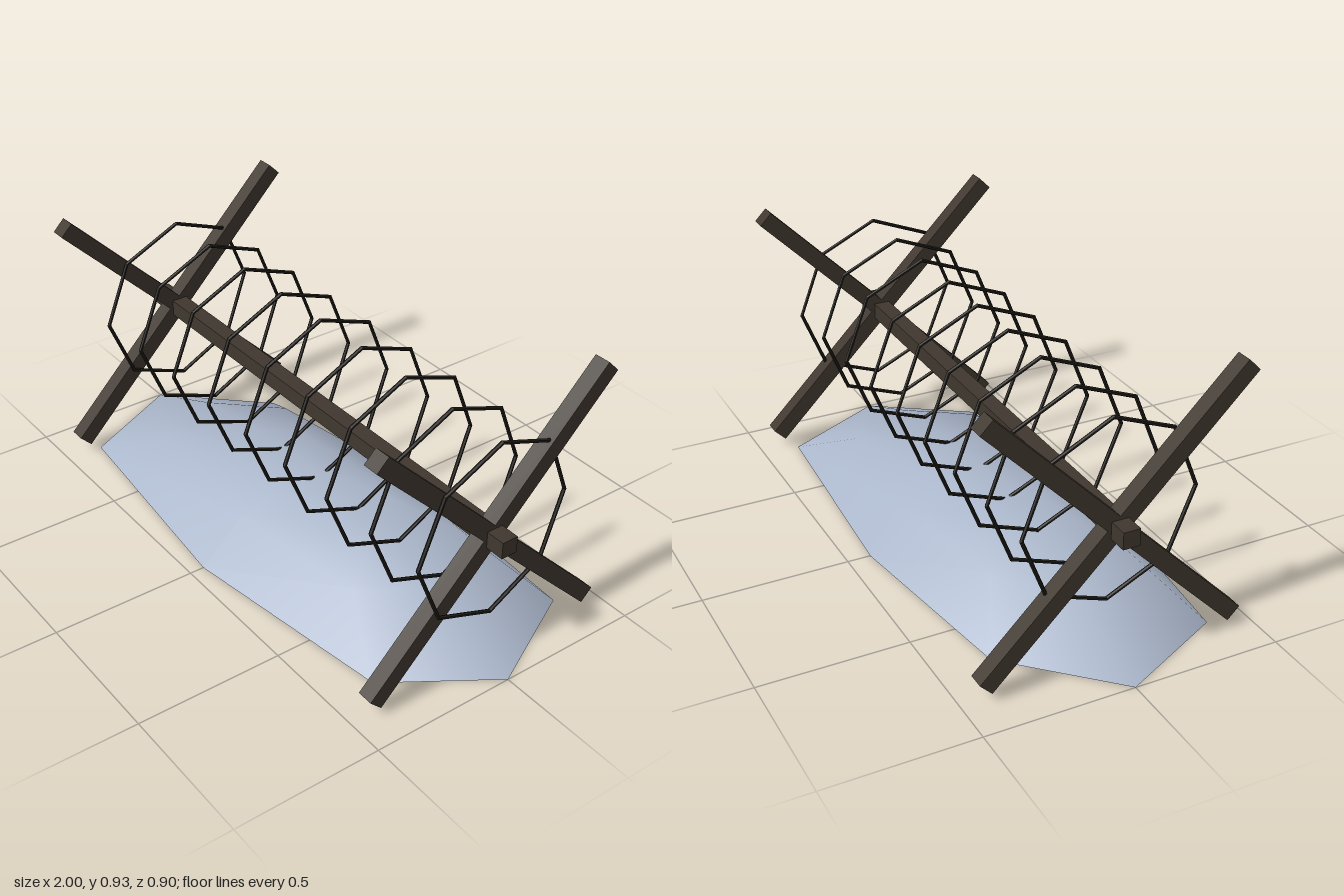
import * as THREE from 'three';

const wood = new THREE.MeshStandardMaterial({ color: 0x40382f });
wood.name = 'dark wood';
const wire = new THREE.MeshStandardMaterial({ color: 0x211e19, flatShading: true });
wire.name = 'black wire';
const snow = new THREE.MeshStandardMaterial({ color: 0xaab6ca, side: THREE.DoubleSide });
snow.name = 'pale blue snow';

const AXLE_Y = 0.478;

function add(parent, name, geometry, material, x, y, z) {
  const mesh = new THREE.Mesh(geometry, material);
  mesh.name = name;
  mesh.position.set(x, y, z);
  parent.add(mesh);
  return mesh;
}

// Open shell: an irregular octagon shrinking upward in rings to a low peak
function moundGeometry() {
  const outline = [
    [1, 0], [0.77, 0.34], [0, 0.45], [-0.82, 0.37],
    [-1, 0], [-0.69, -0.32], [0, -0.42], [0.81, -0.37],
  ];
  const rings = [[1, 0], [0.66, 0.14], [0.33, 0.2]]; // scale, height
  const n = outline.length;
  const positions = [];
  const index = [];
  for (const [scale, y] of rings) {
    for (const [x, z] of outline) positions.push(x * scale, y, z * scale);
  }
  positions.push(0, 0.22, 0);
  const peak = rings.length * n;
  for (let r = 0; r < rings.length; r++) {
    for (let i = 0; i < n; i++) {
      const a = r * n + i;
      const b = r * n + (i + 1) % n;
      if (r === rings.length - 1) index.push(peak, b, a);
      else index.push(a, a + n, b, b, a + n, b + n);
    }
  }
  const geometry = new THREE.BufferGeometry();
  geometry.setAttribute('position', new THREE.Float32BufferAttribute(positions, 3));
  geometry.setIndex(index);
  geometry.computeVertexNormals();
  return geometry;
}

// Eight-sided wire loop around the x axis, slightly twisted and bowed
function loopGeometry() {
  const geometry = new THREE.TorusGeometry(0.305, 0.007, 6, 8);
  geometry.rotateY(Math.PI / 2);
  const p = geometry.attributes.position;
  for (let i = 0; i < p.count; i++) {
    const z = p.getZ(i);
    p.setX(i, p.getX(i) + 0.08 * z - 0.09 * z * z);
  }
  geometry.computeVertexNormals();
  return geometry;
}

export function createModel() {
  const model = new THREE.Group();
  model.name = 'wireBarricade';

  add(model, 'snowMound', moundGeometry(), snow, 0, 0, 0);

  // Long beam joining the two crosses
  add(model, 'beam', new THREE.BoxGeometry(1.9, 0.057, 0.057), wood, 0.01, AXLE_Y, 0);

  // Crossed posts at each end
  const post = new THREE.BoxGeometry(0.056, 1.208, 0.057);
  for (const x of [-0.846, 0.866]) {
    const cross = new THREE.Group();
    cross.name = x < 0 ? 'rightCross' : 'leftCross';
    for (const side of [-1, 1]) {
      add(cross, 'post', post, wood, x, AXLE_Y, 0).rotation.x = side * Math.PI / 4;
    }
    model.add(cross);
  }

  // Row of wire loops
  const coil = new THREE.Group();
  coil.name = 'wireCoil';
  const loop = loopGeometry();
  for (let i = 0; i < 9; i++) {
    add(coil, 'wireLoop', loop, wire, -0.815 + i * 0.214, 0.505, 0);
  }
  model.add(coil);

  return model;
}
